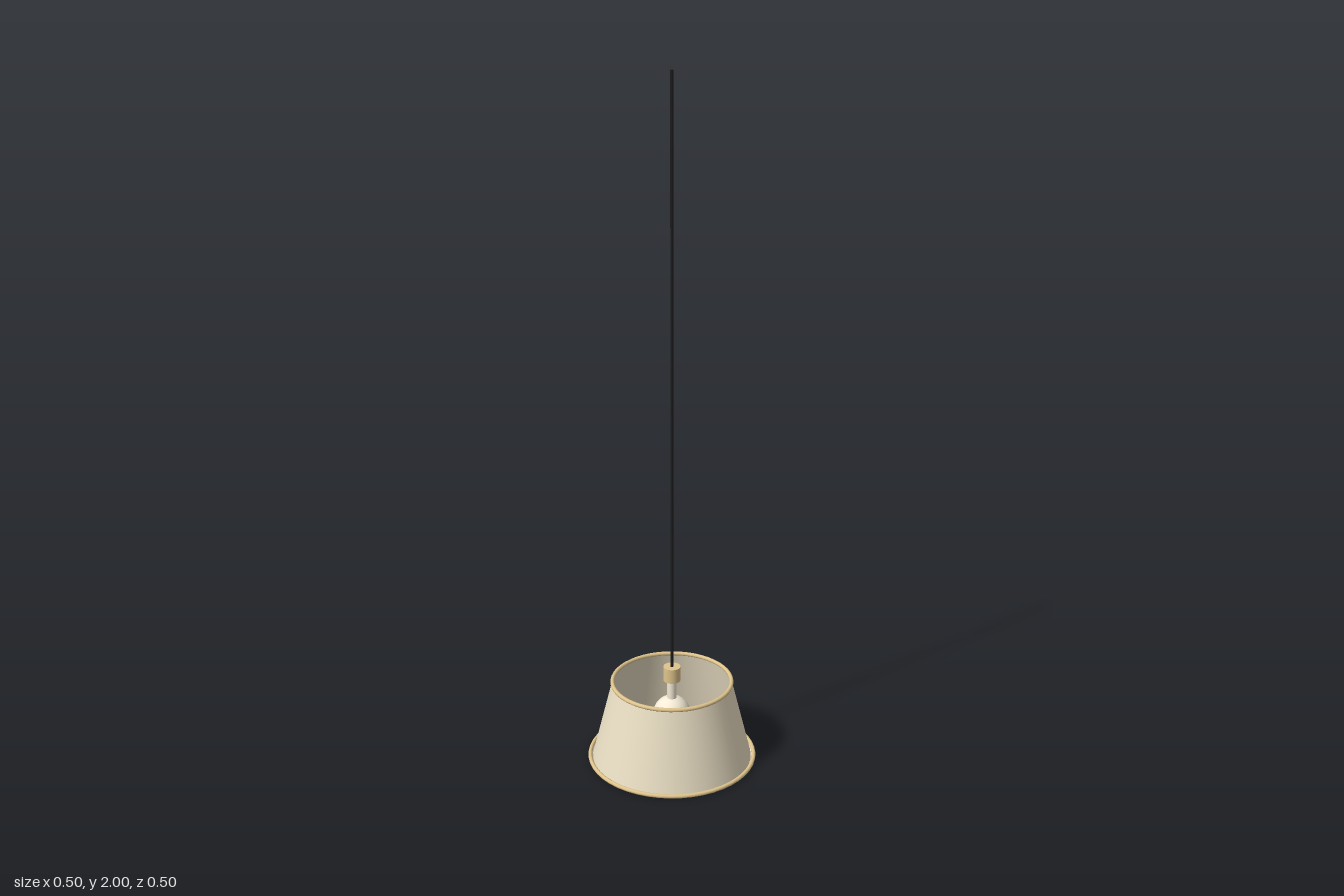
import * as THREE from 'three';

const SEGMENTS = 48;
const material = (color, side = THREE.FrontSide) => new THREE.MeshStandardMaterial({ color, side });

export function createModel() {
  const model = new THREE.Group();
  model.name = 'pendantLamp';

  const fabric = material(0xeadfc4, THREE.DoubleSide);
  const brass = material(0xdfc48c);
  const glass = material(0xf4ead6);
  const black = material(0x1c1c1c);

  const add = (name, geometry, mat, y = 0) => {
    const mesh = new THREE.Mesh(geometry, mat);
    mesh.name = name;
    mesh.position.y = y;
    model.add(mesh);
    return mesh;
  };
  const lathe = (points) =>
    new THREE.LatheGeometry(points.map(([r, y]) => new THREE.Vector2(r, y)), SEGMENTS);

  // Tapered shade, open at both ends, with a small turned-up hem
  add('shade', lathe([[0.234, 0.004], [0.174, 0.245]]), fabric);
  add('shadeHem', lathe([[0.234, 0.004], [0.243, 0.012]]), fabric);

  // Rolled rims
  const rim = (name, radius, y) =>
    add(name, new THREE.TorusGeometry(radius, 0.006, 10, SEGMENTS).rotateX(Math.PI / 2), brass, y);
  rim('topRim', 0.174, 0.245);
  rim('bottomRim', 0.242, 0.007);

  // Socket, bulb and the slim neck joining them
  add('socket', new THREE.CylinderGeometry(0.025, 0.025, 0.044, 24), brass, 0.27);
  add('bulbNeck', new THREE.CylinderGeometry(0.014, 0.014, 0.08, 16), glass, 0.215);
  add('bulb', new THREE.SphereGeometry(0.055, 32, 20), glass, 0.138);

  // Hanging cord
  add('cord', new THREE.CylinderGeometry(0.0045, 0.0045, 1.71, 12), black, 1.145);

  return model;
}
